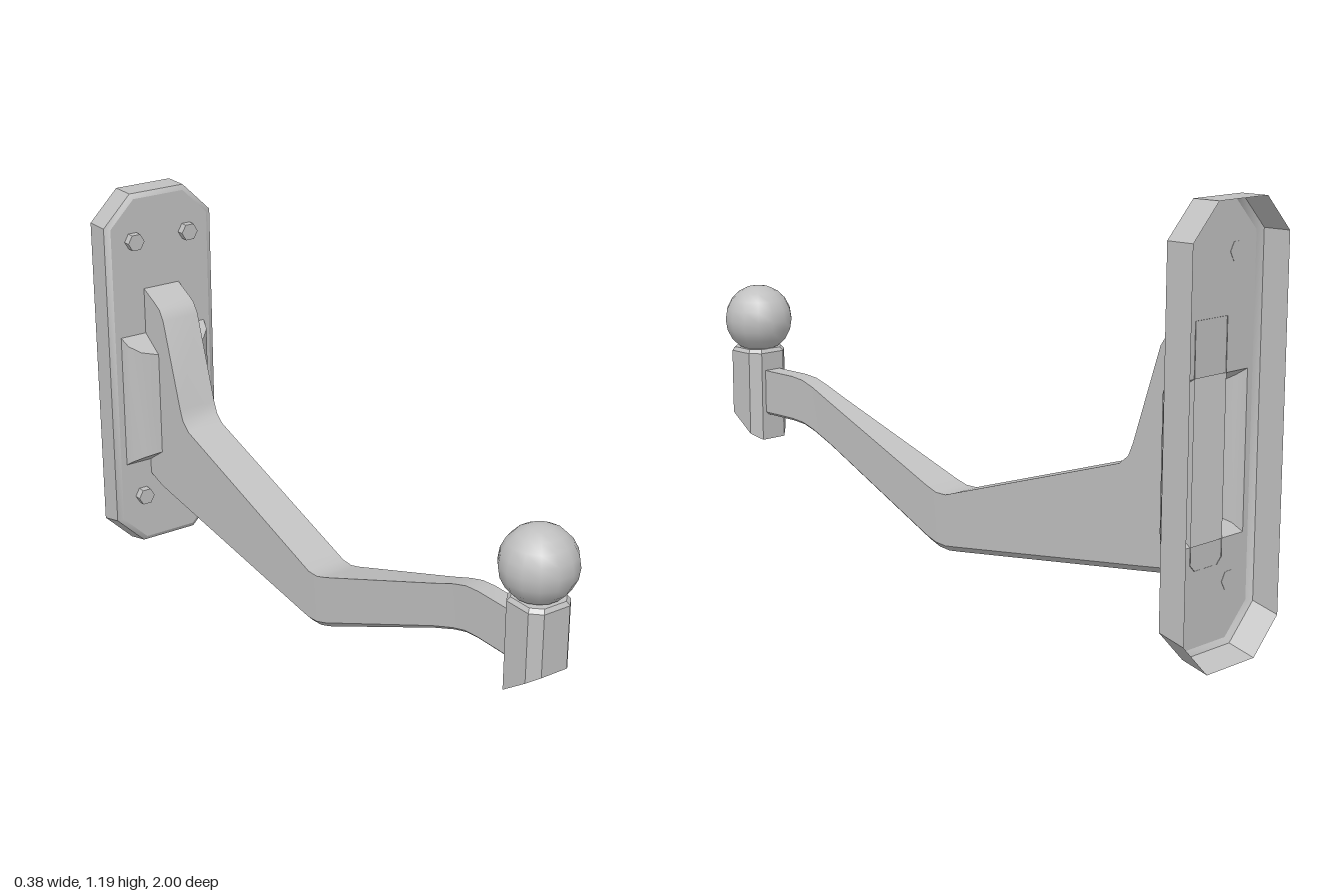
import * as THREE from 'three';
import { toCreasedNormals } from 'three/addons/utils/BufferGeometryUtils.js';

// Skin a list of equal-length point rings, optionally closed and capped
function loft(rings, { closed = true, capStart = false, capEnd = false } = {}) {
  const n = rings[0].length;
  const index = [];
  for (let i = 0; i < rings.length - 1; i++) {
    for (let j = 0; j < (closed ? n : n - 1); j++) {
      const k = (j + 1) % n;
      const a = i * n + j, b = i * n + k, c = b + n, d = a + n;
      index.push(a, b, c, a, c, d);
    }
  }
  const last = (rings.length - 1) * n;
  for (let j = 1; j < n - 1; j++) {
    if (capStart) index.push(0, j + 1, j);
    if (capEnd) index.push(last, last + j, last + j + 1);
  }
  const geo = new THREE.BufferGeometry();
  geo.setAttribute('position', new THREE.Float32BufferAttribute(rings.flat(2), 3));
  geo.setIndex(index);
  return toCreasedNormals(geo, 0.6);
}

// Rectangle with cut corners, counter-clockwise
function cutRect(x, v0, v1, c) {
  return [[-x + c, v0], [x - c, v0], [x, v0 + c], [x, v1 - c],
    [x - c, v1], [-x + c, v1], [-x, v1 - c], [-x, v0 + c]];
}

export function createModel() {
  const model = new THREE.Group();
  model.name = 'wallBracket';
  const grey = new THREE.MeshStandardMaterial({ color: 0xc0c0c0, side: THREE.DoubleSide });
  grey.name = 'grey metal';
  const add = (name, geo, parent = model) => {
    const mesh = new THREE.Mesh(geo, grey);
    mesh.name = name;
    parent.add(mesh);
    return mesh;
  };

  // Wall plate: a hollow shell, open at the back
  const plate = new THREE.Group();
  plate.name = 'wallPlate';
  model.add(plate);
  const faceOutline = cutRect(0.17, 0.04, 1.175, 0.083);
  const at = (outline, z) => outline.map(([x, y]) => [x, y, z]);
  add('plateRim', loft([
    at(cutRect(0.188, 0.005, 1.19, 0.094), -1),
    at(cutRect(0.188, 0.025, 1.19, 0.094), -0.92),
    at(faceOutline, -0.91),
  ]), plate);
  const face = new THREE.Shape(faceOutline.map(([x, y]) => new THREE.Vector2(x, y)));
  face.holes.push(new THREE.Path([[-0.15, 0.31], [-0.15, 0.74], [0.15, 0.74], [0.15, 0.31]]
    .map(([x, y]) => new THREE.Vector2(x, y))));
  add('plateFace', new THREE.ShapeGeometry(face).translate(0, 0, -0.91), plate);

  // Rounded bulges on both sides of the arm, open to the plate window
  for (const s of [1, -1]) {
    const rings = [[0.15, -0.91], [0.142, -0.88], [0.113, -0.853], [0.062, -0.835]].map(([x, z]) => {
      const inset = (z + 0.91) * 0.67;
      return [[s * x, 0.31, -0.91], [s * x, 0.31 + inset, z], [s * x, 0.74 - inset, z], [s * x, 0.74, -0.91]];
    });
    if (s < 0) rings.reverse();
    add(s > 0 ? 'leftBulge' : 'rightBulge', loft(rings, { closed: false }));
  }

  // Hexagonal bolts
  for (const x of [-0.095, 0.095]) {
    for (const y of [0.193, 1.045]) {
      const bolt = new THREE.CylinderGeometry(0.028, 0.028, 0.025, 6).toNonIndexed();
      bolt.computeVertexNormals();
      bolt.rotateY(Math.PI / 6).rotateX(Math.PI / 2);
      add('bolt', bolt).position.set(x, y, -0.8985);
    }
  }

  // Arm stations: z, top, bottom, half width
  const stations = [
    [-0.912, 0.886, 0.245, 0.062], [-0.85, 0.857, 0.225, 0.062], [-0.82, 0.84, 0.22, 0.062],
    [-0.8, 0.81, 0.217, 0.062], [-0.715, 0.545, 0.205, 0.062], [-0.7, 0.51, 0.203, 0.062],
    [-0.67, 0.485, 0.199, 0.062], [-0.06, 0.29, 0.115, 0.062], [-0.02, 0.277, 0.11, 0.062],
    [0.02, 0.277, 0.113, 0.061], [0.06, 0.289, 0.126, 0.059], [0.52, 0.459, 0.322, 0.033],
    [0.6, 0.49, 0.352, 0.029], [0.65, 0.505, 0.366, 0.028], [0.7, 0.51, 0.37, 0.028],
    [0.84, 0.51, 0.37, 0.028],
  ];
  add('arm', loft(stations.map(([z, t, b, w]) => {
    const c = w * 0.72, lip = b + w * 0.28;
    return [[-w, t, z], [-w, lip, z], [-c, b, z], [c, b, z], [w, lip, z], [w, t, z]];
  })));

  // Eight-sided collar with a slanted, hollow underside
  const collarRing = (r, c, height) => cutRect(r, -r, r, c).map(([x, v]) => {
    const z = 0.9 - v;
    return [x, height ?? 0.29 + (z - 0.83) * 0.69, z];
  });
  add('collar', loft([
    collarRing(0.044, 0.018, 0.53),
    collarRing(0.044, 0.018),
    collarRing(0.07, 0.028),
    collarRing(0.07, 0.028, 0.565),
    collarRing(0.062, 0.026, 0.576),
  ], { capStart: true, capEnd: true }));

  // Ball on the tip
  add('ball', new THREE.SphereGeometry(0.105, 14, 10)).position.set(0, 0.665, 0.895);

  return model;
}
